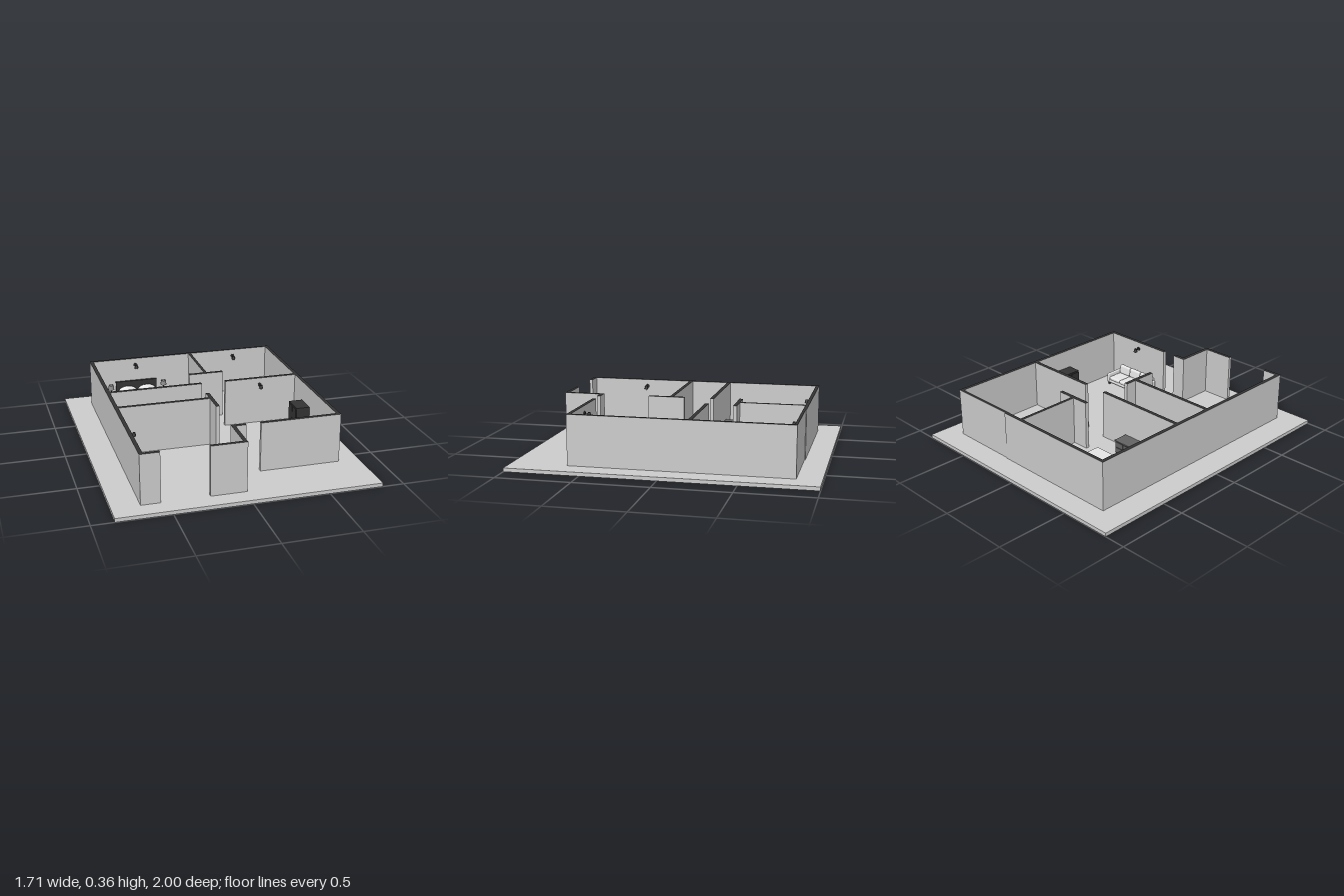
import * as THREE from 'three';
import { RoundedBoxGeometry } from 'three/addons/geometries/RoundedBoxGeometry.js';

const mat = (name, color) => Object.assign(new THREE.MeshStandardMaterial({ color }), { name });

export function createModel() {
  const plaster = mat('plaster grey', 0xcccccc);
  const dark = mat('charcoal', 0x333333);
  const wood = mat('mid grey', 0x636363);
  const fabric = mat('pale fabric', 0xe4e4e4);
  const FLOOR = 0.025, TOP = 0.36;
  const model = new THREE.Group();
  model.name = 'floorPlan';

  const group = (name, x = 0, y = 0, z = 0, parent = model) => {
    const g = new THREE.Group();
    g.name = name;
    g.position.set(x, y, z);
    parent.add(g);
    return g;
  };
  const add = (parent, name, geo, material, x, y, z) => {
    const m = new THREE.Mesh(geo, material);
    m.name = name;
    m.position.set(x, y, z);
    parent.add(m);
    return m;
  };
  // Box given by its limits on each axis
  const box = (parent, name, material, x0, x1, y0, y1, z0, z1) =>
    add(parent, name, new THREE.BoxGeometry(x1 - x0, y1 - y0, z1 - z0), material,
      (x0 + x1) / 2, (y0 + y1) / 2, (z0 + z1) / 2);
  const soft = (parent, name, material, x0, x1, y0, y1, z0, z1, r = 0.012) =>
    add(parent, name, new RoundedBoxGeometry(x1 - x0, y1 - y0, z1 - z0, 3, r), material,
      (x0 + x1) / 2, (y0 + y1) / 2, (z0 + z1) / 2);

  // Base slab
  box(model, 'baseSlab', plaster, -0.856, 0.856, 0, FLOOR, -1, 1);

  // Walls with dark cut tops: x0, x1, z0, z1
  const walls = group('walls');
  const wallMaterials = [plaster, plaster, dark, plaster, plaster, plaster];
  [
    [-0.675, -0.65, -0.845, 0.878], // left outer
    [-0.65, 0.23, -0.845, -0.822], // back
    [0.23, 0.69, -0.84, -0.822],
    [0.69, 0.714, -0.84, 0.623], // right outer
    [0.075, 0.095, -0.822, -0.385], // bedroom to bathroom
    [-0.04, 0.21, -0.385, -0.36],
    [-0.65, 0, -0.188, -0.163], // middle cross wall, with doorway
    [0.17, 0.69, -0.188, -0.163],
    [-0.65, -0.025, 0.1, 0.125], // corridor
    [-0.025, 0, 0.02, 0.272],
    [0.17, 0.69, 0.598, 0.623], // front of living room
    [0, 0.072, 0.598, 0.623],
    [-0.025, 0, 0.598, 0.878],
    [-0.65, -0.547, 0.855, 0.878], // open front of the left room
    [-0.237, -0.025, 0.855, 0.878],
  ].forEach(([x0, x1, z0, z1]) => box(walls, 'wall', wallMaterials, x0, x1, FLOOR, TOP, z0, z1));

  // Bed
  const bed = group('bed', -0.335, FLOOR, 0);
  box(bed, 'headboard', dark, -0.155, 0.155, 0, 0.165, -0.822, -0.806);
  box(bed, 'bedFrame', dark, -0.152, 0.152, 0.012, 0.035, -0.81, -0.412);
  soft(bed, 'mattress', fabric, -0.148, 0.148, 0.035, 0.075, -0.806, -0.42);
  soft(bed, 'blanket', fabric, -0.152, 0.152, 0.03, 0.083, -0.665, -0.416);
  const pillow = new THREE.SphereGeometry(1, 20, 12);
  for (const s of [-1, 1]) {
    const p = add(bed, 'pillow', pillow, fabric, s * 0.073, 0.1, -0.783);
    p.scale.set(0.068, 0.034, 0.018);
    p.rotation.x = -0.3;
    const c = add(bed, 'cushion', pillow, fabric, s * 0.032, 0.094, -0.76);
    c.scale.set(0.036, 0.02, 0.016);
    for (const z of [-0.79, -0.425]) box(bed, 'bedLeg', dark, s * 0.14 - 0.008, s * 0.14 + 0.008, 0, 0.014, z - 0.008, z + 0.008);
  }

  // Nightstands with table lamps
  for (const x of [-0.535, -0.134]) {
    const stand = group('nightstand', x, FLOOR, -0.77);
    box(stand, 'cabinet', dark, -0.034, 0.034, 0.008, 0.085, -0.036, 0.036);
    box(stand, 'cabinetTop', dark, -0.039, 0.039, 0.085, 0.092, -0.039, 0.039);
    for (const y of [0.013, 0.049]) box(stand, 'drawerFront', wood, -0.028, 0.028, y, y + 0.031, 0.036, 0.038);
    add(stand, 'lampFoot', new THREE.CylinderGeometry(0.012, 0.014, 0.006, 16), dark, 0, 0.095, 0);
    add(stand, 'lampStem', new THREE.CylinderGeometry(0.003, 0.003, 0.03, 8), dark, 0, 0.112, 0);
    const shade = mat('lamp shade', 0x8a8a8a);
    shade.side = THREE.DoubleSide;
    add(stand, 'lampShade', new THREE.CylinderGeometry(0.017, 0.023, 0.034, 20, 1, true), shade, 0, 0.143, 0);
  }

  // Dresser
  const dresser = group('dresser', -0.332, FLOOR, -0.248);
  box(dresser, 'dresserBody', dark, -0.106, 0.106, 0.01, 0.094, -0.048, 0.052);
  box(dresser, 'dresserTop', wood, -0.111, 0.111, 0.094, 0.1, -0.052, 0.054);
  for (let i = 0; i < 3; i++)
    for (const y of [0.015, 0.055])
      box(dresser, 'drawerFront', wood, -0.1 + i * 0.068, -0.036 + i * 0.068, y, y + 0.034, -0.051, -0.048);
  for (const x of [-0.095, 0.095]) box(dresser, 'dresserFoot', dark, x - 0.008, x + 0.008, 0, 0.01, -0.045, 0.045);

  // Tall cabinet against the right wall
  const cabinet = group('wallCabinet', 0, FLOOR, 0);
  box(cabinet, 'cabinetBody', dark, 0.594, 0.69, 0, 0.2, -0.008, 0.14);
  for (const z of [-0.002, 0.069]) box(cabinet, 'cabinetDoor', dark, 0.59, 0.594, 0.01, 0.19, z, z + 0.065);

  // Three-seat sofa facing the back
  const sofa = group('sofa', 0.415, FLOOR, 0);
  soft(sofa, 'sofaBase', fabric, -0.165, 0.165, 0.012, 0.04, 0.43, 0.59);
  soft(sofa, 'sofaBack', fabric, -0.16, 0.16, 0.03, 0.105, 0.565, 0.595);
  for (const s of [-1, 1]) {
    soft(sofa, 'armrest', fabric, s * 0.166 - 0.01, s * 0.166 + 0.01, 0.012, 0.085, 0.428, 0.59, 0.009);
    for (const z of [0.44, 0.58]) box(sofa, 'sofaLeg', dark, s * 0.16 - 0.006, s * 0.16 + 0.006, 0, 0.014, z - 0.006, z + 0.006);
  }
  for (let i = -1; i <= 1; i++) {
    soft(sofa, 'seatCushion', fabric, i * 0.103 - 0.051, i * 0.103 + 0.051, 0.036, 0.063, 0.427, 0.555);
    const c = soft(sofa, 'backCushion', fabric, i * 0.103 - 0.05, i * 0.103 + 0.05, 0.058, 0.126, 0.536, 0.57, 0.015);
    c.rotation.x = 0.15;
  }

  // Wall lights: x, z, turn
  [
    [-0.335, -0.822, 0], [0.425, -0.822, 0], [0.425, -0.163, 0],
    [-0.65, 0.452, Math.PI / 2], [0.425, 0.598, Math.PI],
  ].forEach(([x, z, turn]) => {
    const light = group('wallLight', x, 0.31, z);
    light.rotation.y = turn;
    const plate = add(light, 'wallPlate', new THREE.CylinderGeometry(0.014, 0.014, 0.006, 16), dark, 0, 0, 0.003);
    const arm = add(light, 'lightArm', new THREE.CylinderGeometry(0.003, 0.003, 0.028, 8), dark, 0, 0, 0.018);
    plate.rotation.x = arm.rotation.x = Math.PI / 2;
    add(light, 'lightShade', new THREE.CylinderGeometry(0.008, 0.014, 0.022, 16), dark, 0, -0.004, 0.034);
    add(light, 'lightBulb', new THREE.SphereGeometry(0.009, 12, 8), fabric, 0, -0.015, 0.034);
  });

  return model;
}
